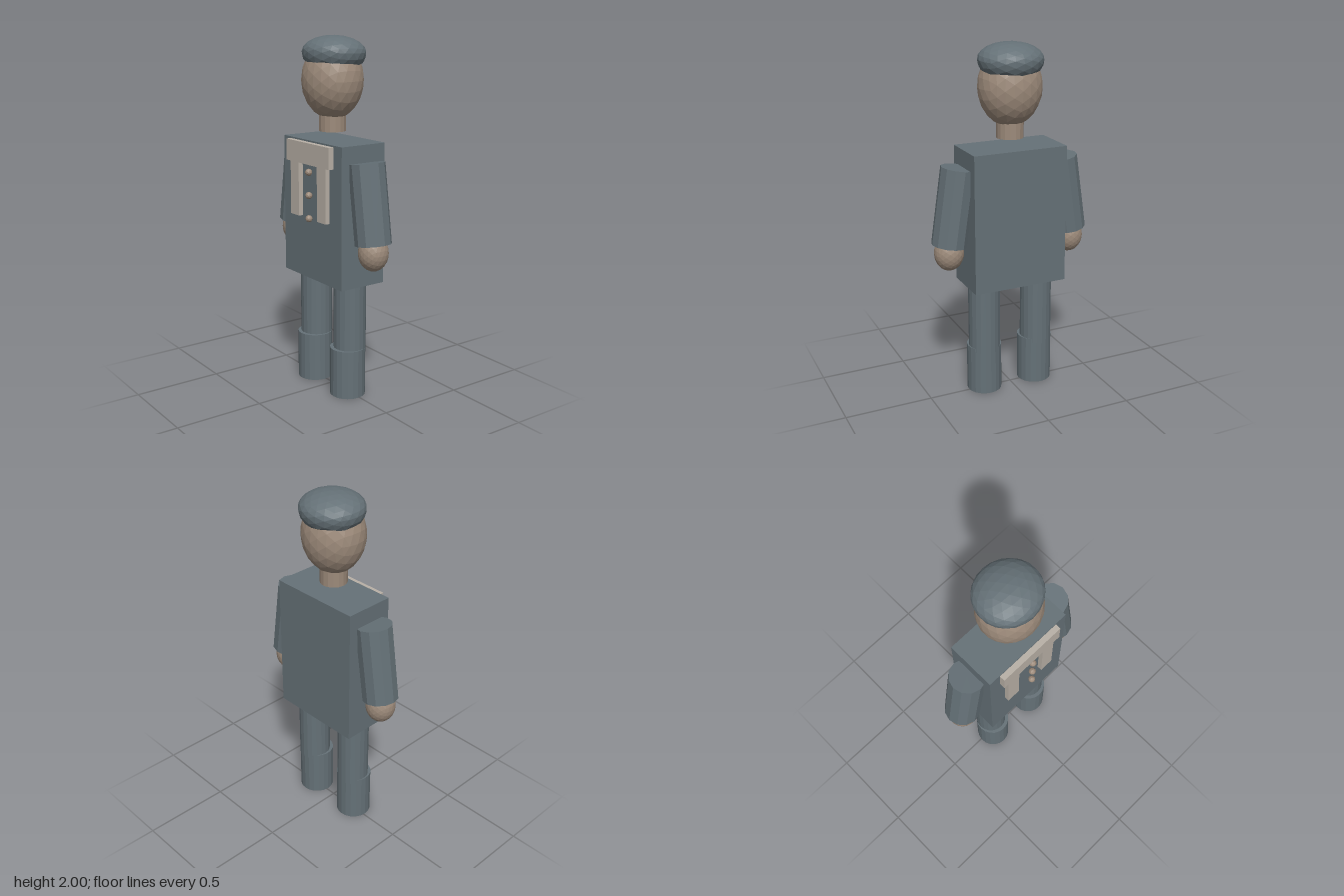
import * as THREE from 'three';

export function createModel() {
  const model = new THREE.Group();
  model.name = 'figure';

  const material = (name, color) => {
    const m = new THREE.MeshStandardMaterial({ color, flatShading: true });
    m.name = name;
    return m;
  };
  const cloth = material('greyCloth', 0x657177);
  const skin = material('skin', 0x9c8a7a);
  const pale = material('paleTrim', 0xb8b0a6);

  const add = (name, geometry, mat, x, y, z) => {
    const mesh = new THREE.Mesh(geometry, mat);
    mesh.name = name;
    mesh.position.set(x, y, z);
    model.add(mesh);
    return mesh;
  };
  // Faceted ellipsoid
  const ellipsoid = (rx, ry, rz, detail = 3) =>
    new THREE.IcosahedronGeometry(1, detail).scale(rx, ry, rz);
  // Upright cylinder spanning two heights
  const column = (name, mat, r, x, z, y0, y1, sides) =>
    add(name, new THREE.CylinderGeometry(r, r, y1 - y0, sides), mat, x, (y0 + y1) / 2, z);

  // Torso
  add('torso', new THREE.BoxGeometry(0.548, 0.782, 0.285), cloth, 0, 1.049, -0.005);

  // Chest band with two hanging straps
  add('chestBand', new THREE.BoxGeometry(0.406, 0.118, 0.034), pale, -0.001, 1.372, 0.153);
  for (const x of [-0.13, 0.125]) {
    add('chestStrap', new THREE.BoxGeometry(0.08, 0.36, 0.03), pale, x, 1.19, 0.15);
  }

  // Buttons
  for (const y of [1.272, 1.143, 1.013]) {
    add('button', ellipsoid(0.02, 0.02, 0.02, 1), skin, 0.01, y, 0.166);
  }

  // Neck and head
  column('neck', skin, 0.075, 0, 0, 1.485, 1.62, 16);
  add('head', ellipsoid(0.178, 0.215, 0.167), skin, 0, 1.762, 0);

  // Cap: domed above, deeper and cut flat below
  const capShape = new THREE.IcosahedronGeometry(1, 3);
  const p = capShape.attributes.position;
  for (let i = 0; i < p.count; i++) {
    const y = p.getY(i);
    p.setXYZ(i, p.getX(i) * 0.18, y > 0 ? y * 0.09 : Math.max(y, -0.5) * 0.13, p.getZ(i) * 0.172);
  }
  capShape.computeVertexNormals();
  add('cap', capShape, cloth, 0, 1.91, -0.01).rotation.x = -0.03;

  for (const side of [-1, 1]) {
    // Arm, leaning outward toward the hand
    const arm = add('arm', new THREE.CylinderGeometry(0.1, 0.1, 0.435, 12), cloth,
      side * 0.336, 1.133, -0.003);
    arm.rotation.z = side * 0.148;
    add('hand', ellipsoid(0.083, 0.1, 0.083), skin, side * 0.37, 0.872, -0.002);

    // Leg and boot
    column('leg', cloth, 0.091, side * 0.163, -0.002, 0.255, 0.68, 20);
    column('boot', cloth, 0.1, side * 0.161, 0.01, 0, 0.28, 20);
  }

  return model;
}
